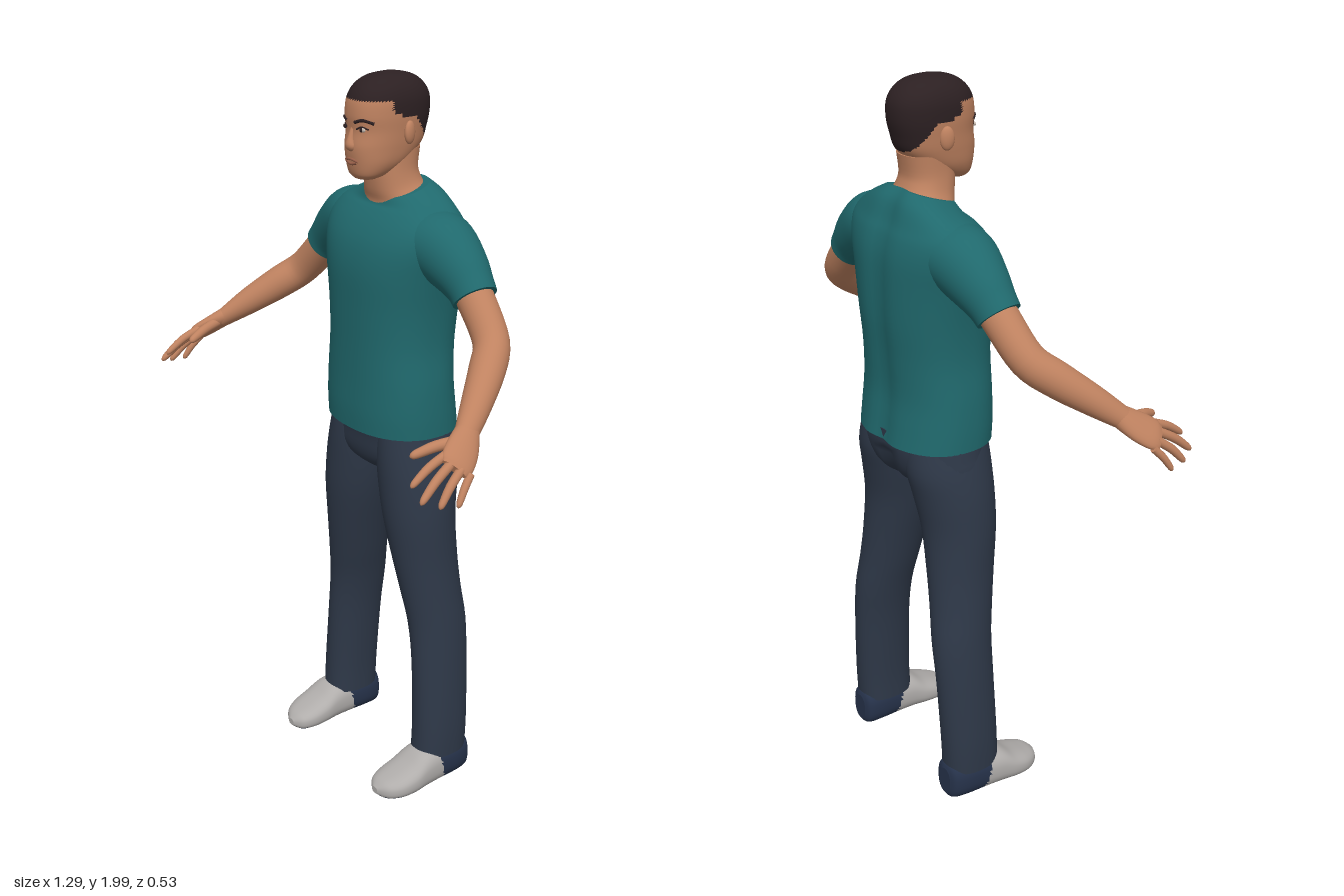
import * as THREE from 'three';

const V = (x, y, z) => new THREE.Vector3(x, y, z);
const material = (name, color) => Object.assign(new THREE.MeshStandardMaterial({ color }), { name });

// Smoothly resample cross-sections [x, y, z, ru, rv, tilt, exponent]
function resample(sections, steps) {
  const s = sections.map(a => [a[0], a[1], a[2], a[3], a[4], a[5] ?? 0, a[6] ?? 2]);
  const out = [];
  for (let i = 0; i < s.length - 1; i++) {
    const a = s[Math.max(i - 1, 0)], b = s[i], c = s[i + 1], d = s[Math.min(i + 2, s.length - 1)];
    for (let k = 0; k < steps; k++) {
      const t = k / steps;
      out.push(b.map((_, j) => b[j] + 0.5 * t * (c[j] - a[j] +
        t * (2 * a[j] - 5 * b[j] + 4 * c[j] - d[j] + t * (3 * (b[j] - c[j]) + d[j] - a[j])))));
    }
  }
  out.push(s[s.length - 1]);
  return out;
}

// Closed skin over superelliptical rings; t fixes the ring normal, else it follows the path
function loft(sections, { n = 24, steps = 4, t = null, u = V(1, 0, 0), move = null } = {}) {
  const rings = resample(sections, steps), pos = [], index = [];
  const centre = r => V(r[0], r[1], r[2]);
  const last = rings.length - 1;
  const pw = (c, e) => Math.sign(c) * Math.pow(Math.abs(c), 2 / e);
  rings.forEach((r, i) => {
    const dir = t ? t.clone()
      : centre(rings[Math.min(i + 1, last)]).sub(centre(rings[Math.max(i - 1, 0)])).normalize();
    const a = u.clone().addScaledVector(dir, -u.dot(dir)).normalize();
    const b = dir.clone().cross(a);
    for (let j = 0; j < n; j++) {
      const q = j / n * Math.PI * 2;
      const su = r[3] * pw(Math.cos(q), r[6]), sv = r[4] * pw(Math.sin(q), r[6]);
      const p = centre(r).addScaledVector(a, su).addScaledVector(b, sv).addScaledVector(dir, r[5] * sv);
      if (move) move(p);
      pos.push(p.x, p.y, p.z);
    }
  });
  for (let i = 0; i < last; i++) for (let j = 0; j < n; j++) {
    const a = i * n + j, b = i * n + (j + 1) % n;
    index.push(a, b, b + n, a, b + n, a + n);
  }
  // End caps with their own vertices
  for (const [i, flip] of [[0, true], [last, false]]) {
    const c = pos.length / 3;
    pos.push(...rings[i].slice(0, 3));
    pos.push(...pos.slice(i * n * 3, (i + 1) * n * 3));
    for (let j = 0; j < n; j++) {
      const p = c + 1 + j, q = c + 1 + (j + 1) % n;
      index.push(c, ...(flip ? [q, p] : [p, q]));
    }
  }
  const g = new THREE.BufferGeometry();
  g.setAttribute('position', new THREE.Float32BufferAttribute(pos, 3));
  g.setIndex(index);
  g.computeVertexNormals();
  return g;
}

// Sort faces into material groups by a rule on the face centre
function paint(g, count, rule) {
  const lists = Array.from({ length: count }, () => []), ix = g.index.array, p = g.attributes.position;
  for (let i = 0; i < ix.length; i += 3) {
    const c = V(0, 0, 0);
    for (let k = 0; k < 3; k++) c.add(V(0, 0, 0).fromBufferAttribute(p, ix[i + k]));
    lists[rule(c.divideScalar(3))].push(ix[i], ix[i + 1], ix[i + 2]);
  }
  let start = 0;
  lists.forEach((l, m) => { g.addGroup(start, l.length, m); start += l.length; });
  g.setIndex(lists.flat());
  return g;
}

export function createModel() {
  const skin = material('skin', 0xbf8260), lipTone = material('lips', 0x99604a);
  const hair = material('hair', 0x2c2022), eyeWhite = material('eyeWhite', 0xc9bdb2);
  const shirt = material('shirt', 0x20696d), denim = material('trousers', 0x2e3848);
  const shoeGrey = material('shoe', 0xb0adab), navy = material('shoeTrim', 0x26324a);
  const model = new THREE.Group();
  model.name = 'standingMan';
  const add = (name, geo, mat, parent = model) => {
    const m = new THREE.Mesh(geo, mat);
    m.name = name;
    parent.add(m);
    return m;
  };
  const up = V(0, 1, 0);
  const stack = rows => rows.map(([y, rx, z, rz, tilt, e]) => [0, y, z, rx, rz, tilt ?? 0, e ?? 2.3]);

  // Shirt body with a shallow groove down the spine
  add('shirtBody', loft(stack([
    [1.062, 0.2, -0.113, 0.148], [1.12, 0.2, -0.108, 0.145], [1.2, 0.196, -0.105, 0.14],
    [1.3, 0.187, -0.108, 0.142], [1.4, 0.192, -0.112, 0.147], [1.5, 0.208, -0.113, 0.148],
    [1.57, 0.225, -0.118, 0.14], [1.62, 0.228, -0.125, 0.122], [1.655, 0.203, -0.132, 0.1],
    [1.685, 0.148, -0.13, 0.084, 0.2], [1.708, 0.097, -0.12, 0.07, 0.3]
  ]), { n: 64, t: up, move: p => {
    if (p.z < -0.15) p.z += 0.012 * Math.exp(-((p.x / 0.035) ** 2));
  } }), shirt);

  // Hips
  add('trouserSeat', loft(stack([
    [0.925, 0.05, -0.115, 0.06], [0.955, 0.14, -0.115, 0.1], [0.99, 0.205, -0.118, 0.117],
    [1.04, 0.203, -0.122, 0.125], [1.09, 0.194, -0.118, 0.13]
  ]), { n: 48, t: up, move: p => {
    if (p.z < -0.15 && p.y < 1.04) p.z += 0.015 * Math.exp(-((p.x / 0.025) ** 2));
  } }), denim);

  // Neck and head
  add('neck', loft(stack([
    [1.655, 0.09, -0.115, 0.07], [1.69, 0.09, -0.116, 0.07, 0.2], [1.72, 0.075, -0.106, 0.068, 0.2],
    [1.76, 0.067, -0.1, 0.068], [1.81, 0.066, -0.105, 0.07]
  ]), { n: 40, t: up }), skin);

  const headRows = stack([
    [1.737, 0.03, -0.018, 0.024], [1.75, 0.05, -0.03, 0.048], [1.78, 0.067, -0.055, 0.08],
    [1.82, 0.075, -0.075, 0.104], [1.86, 0.079, -0.085, 0.109], [1.9, 0.082, -0.088, 0.115],
    [1.94, 0.08, -0.09, 0.111], [1.97, 0.067, -0.091, 0.092], [1.99, 0.043, -0.092, 0.06],
    [2.0, 0.006, -0.093, 0.008]
  ]);
  const hairline = z => z > -0.05 ? 1.938 : z > -0.075 ? 1.905 : z > -0.12 ? 1.895 : 1.895 - (-0.12 - z) * 1.25;
  add('head', paint(loft(headRows, { n: 72, steps: 8, t: up }), 2, c => c.y > hairline(c.z) ? 1 : 0), [skin, hair]);

  // Depth of the face surface at x, y
  const fine = resample(headRows, 12);
  const face = (x, y, lift = 0) => {
    const r = fine.reduce((a, b) => Math.abs(b[1] - y) < Math.abs(a[1] - y) ? b : a);
    return V(x, y, r[2] + r[4] * Math.pow(1 - Math.pow(Math.abs(x) / r[3], r[6]), 1 / r[6]) + lift);
  };
  const strip = (pts, r) => new THREE.TubeGeometry(new THREE.CatmullRomCurve3(pts), 16, r, 8);
  const blob = (name, p, sx, sy, sz, mat) => {
    const m = add(name, new THREE.SphereGeometry(1, 20, 14), mat);
    m.position.copy(p);
    m.scale.set(sx, sy, sz);
    return m;
  };
  add('nose', loft([
    [0, 1.877, 0.017, 0.006, 0.004], [0, 1.845, 0.025, 0.009, 0.009],
    [0, 1.824, 0.027, 0.016, 0.013], [0, 1.811, 0.023, 0.011, 0.005]
  ], { n: 20 }), skin);
  add('upperLip', strip([face(-0.026, 1.785), face(-0.008, 1.79, 0.001), face(0.008, 1.79, 0.001), face(0.026, 1.785)], 0.0035), lipTone);
  add('lowerLip', strip([face(-0.022, 1.783), face(0, 1.778, 0.001), face(0.022, 1.783)], 0.004), lipTone);

  for (const s of [1, -1]) {
    const side = s > 0 ? 'left' : 'right';
    const mx = rows => rows.map(r => [r[0] * s, ...r.slice(1)]);

    // Face details
    add(side + 'Eyebrow', strip([face(s * 0.015, 1.884), face(s * 0.038, 1.891), face(s * 0.06, 1.883)], 0.0042), hair);
    blob(side + 'Eye', face(s * 0.034, 1.867, -0.001), 0.014, 0.006, 0.004, eyeWhite);
    blob(side + 'Iris', face(s * 0.034, 1.867, 0.001), 0.0065, 0.006, 0.004, hair);
    add(side + 'Eyelid', strip([face(s * 0.019, 1.867), face(s * 0.034, 1.874), face(s * 0.05, 1.868)], 0.0022), hair);
    blob(side + 'Ear', V(s * 0.083, 1.856, -0.097), 0.011, 0.03, 0.019, skin).rotation.y = s * 0.35;

    // Sleeve and arm
    add(side + 'Sleeve', loft(mx([
      [0.1, 1.58, -0.125, 0.085, 0.07], [0.145, 1.588, -0.125, 0.095, 0.082], [0.2, 1.572, -0.126, 0.088, 0.09],
      [0.265, 1.533, -0.126, 0.072, 0.077], [0.305, 1.5, -0.124, 0.061, 0.064], [0.326, 1.478, -0.122, 0.058, 0.06]
    ]), { n: 36, u: V(0, 0, 1) }), shirt);
    add(side + 'Arm', loft(mx([
      [0.27, 1.53, -0.125, 0.05, 0.05], [0.34, 1.465, -0.12, 0.048, 0.049], [0.415, 1.39, -0.103, 0.046, 0.047],
      [0.462, 1.343, -0.052, 0.046, 0.046], [0.512, 1.288, 0.02, 0.039, 0.038], [0.55, 1.242, 0.08, 0.031, 0.026],
      [0.56, 1.23, 0.096, 0.029, 0.023]
    ]), { n: 28, u: V(s * 0.5, -0.6, -0.6) }), skin);

    // Hand: palm, four fingers and thumb
    const hand = new THREE.Group();
    hand.name = side + 'Hand';
    model.add(hand);
    add('palm', loft(mx([
      [0.548, 1.245, 0.076, 0.03, 0.025], [0.576, 1.216, 0.114, 0.042, 0.021],
      [0.598, 1.193, 0.147, 0.043, 0.017], [0.606, 1.184, 0.163, 0.034, 0.011]
    ]), { n: 24, u: V(s * 0.5, -0.5, -0.5) }), skin, hand);
    const digit = (name, a, b, r, bend) => {
      const at = (k, w) => [0, 1, 2].map(i => a[i] + (b[i] - a[i]) * k + (i === 1 ? bend * k * (1 - k) * 4 : 0)).concat(w, w);
      add(name, loft(mx([at(0, r), at(0.5, r * 0.97), at(0.85, r * 0.8), at(0.96, r * 0.55), at(1, r * 0.1)]),
        { n: 14, u: V(s * 0.6, -0.5, -0.4) }), skin, hand);
    };
    digit('indexFinger', [0.573, 1.213, 0.155], [0.577, 1.153, 0.268], 0.0115, 0.008);
    digit('middleFinger', [0.594, 1.198, 0.158], [0.613, 1.122, 0.266], 0.012, 0.008);
    digit('ringFinger', [0.612, 1.182, 0.147], [0.634, 1.108, 0.226], 0.0115, 0.008);
    digit('littleFinger', [0.624, 1.169, 0.128], [0.642, 1.102, 0.178], 0.01, 0.006);
    digit('thumb', [0.558, 1.228, 0.1], [0.515, 1.198, 0.224], 0.0145, 0.006);

    // Trouser leg
    add(side + 'TrouserLeg', loft(mx([
      [0.218, 0.1, -0.124, 0.061, 0.082, 0, 2.3], [0.217, 0.2, -0.128, 0.062, 0.083, 0, 2.2],
      [0.205, 0.38, -0.133, 0.064, 0.086], [0.19, 0.5, -0.133, 0.069, 0.088], [0.172, 0.6, -0.122, 0.076, 0.09],
      [0.155, 0.7, -0.112, 0.084, 0.095], [0.137, 0.82, -0.104, 0.098, 0.102],
      [0.122, 0.92, -0.11, 0.105, 0.112], [0.11, 1.0, -0.118, 0.102, 0.12], [0.1, 1.08, -0.118, 0.09, 0.115]
    ]), { n: 40, t: up }), denim);

    // Shoe with navy heel and sole
    add(side + 'Shoe', paint(loft(mx([
      [0.218, 0.065, -0.212, 0.025, 0.04], [0.218, 0.067, -0.2, 0.045, 0.056], [0.22, 0.07, -0.16, 0.056, 0.06],
      [0.222, 0.069, -0.1, 0.058, 0.06], [0.224, 0.064, -0.045, 0.061, 0.056], [0.224, 0.05, 0, 0.064, 0.043],
      [0.222, 0.041, 0.045, 0.06, 0.034], [0.218, 0.036, 0.08, 0.043, 0.025], [0.215, 0.034, 0.1, 0.012, 0.01]
    ].map(r => [...r, 0, 2.5])), { n: 40, steps: 6, t: V(0, 0, 1), move: p => { p.y = Math.max(p.y, 0); } }),
    2, c => c.y < 0.02 || c.z < -0.1 - (0.06 - c.y) * 0.25 ? 1 : 0), [shoeGrey, navy]);
  }

  // Stand on the ground, centred in depth
  const box = new THREE.Box3().setFromObject(model);
  model.position.y = -box.min.y;
  return model;
}
